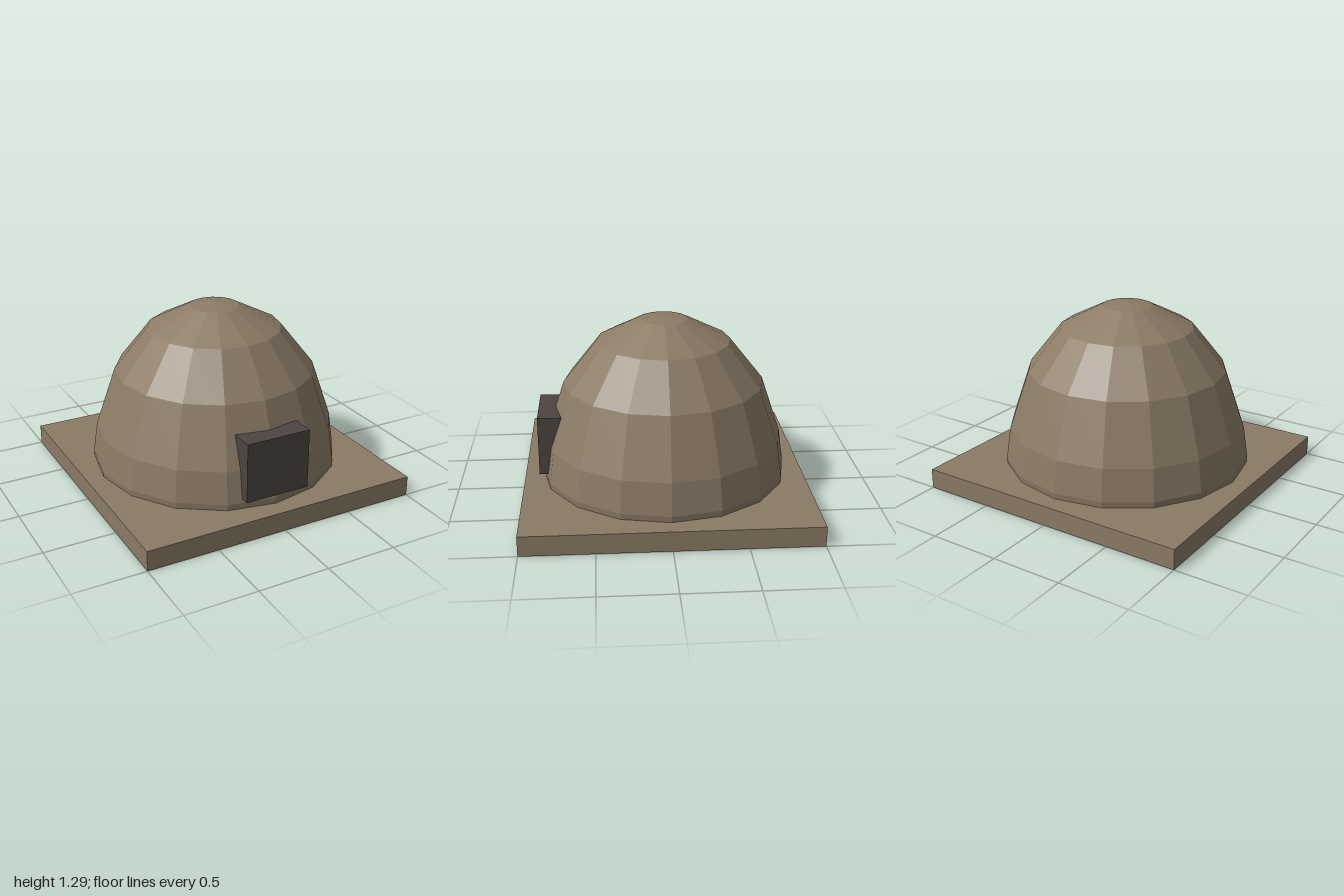
import * as THREE from 'three';

export function createModel() {
  const group = new THREE.Group();
  const clay = new THREE.MeshStandardMaterial({ color: 0x8b7b66, flatShading: true });
  const darkDoor = new THREE.MeshStandardMaterial({ color: 0x4d4540, flatShading: true });

  const add = (name, geometry, material, y, z = 0) => {
    const mesh = new THREE.Mesh(geometry, material);
    mesh.name = name;
    mesh.position.set(0, y, z);
    group.add(mesh);
  };

  // Square ground slab
  add('base', new THREE.BoxGeometry(2, 0.142, 2), clay, 0.071);

  // Sixteen-sided faceted dome, profile from foot to apex
  const profile = [
    [0.875, 0.14], [0.88, 0.185], [0.847, 0.41], [0.706, 0.823],
    [0.47, 1.12], [0.174, 1.272], [0, 1.295],
  ].map(([r, y]) => new THREE.Vector2(r, y));
  add('dome', new THREE.LatheGeometry(profile, 16), clay, 0);

  // Door block set into the front of the dome
  add('door', new THREE.BoxGeometry(0.467, 0.423, 0.24), darkDoor, 0.425, 0.77);

  return group;
}
